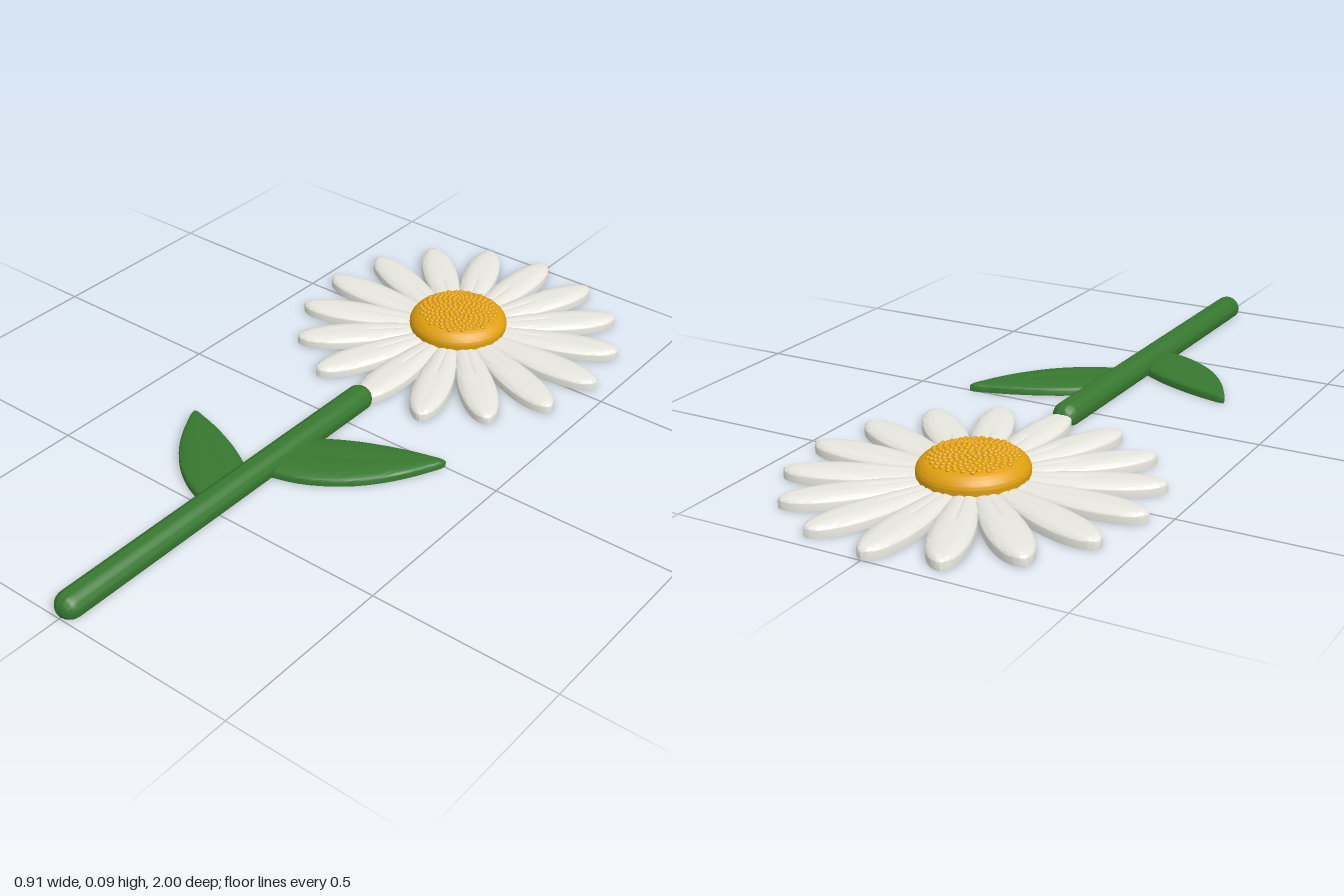
import * as THREE from 'three';
import { mergeGeometries, toCreasedNormals } from 'three/addons/utils/BufferGeometryUtils.js';

const V = (x, y, z = 0) => new THREE.Vector3(x, y, z);

// Flat-bottomed, domed blade along +x with a crease down the middle.
// profile: [distance along, half width]; bow bends the centre line sideways.
function bladeGeometry(profile, edge, crown, groove, bow = 0) {
  const curve = new THREE.CatmullRomCurve3(profile.map(([x, w]) => V(x, w)));
  const length = profile[profile.length - 1][0];
  const widest = Math.max(...profile.map((p) => p[1]));
  const rows = 36, across = 16, ring = across + 3;
  const pos = [], index = [];
  for (let i = 0; i <= rows; i++) {
    const p = curve.getPoint(i / rows);
    const w = Math.max(0, p.y);
    const t = THREE.MathUtils.clamp(p.x / length, 0, 1);
    const centre = bow * Math.sin(Math.PI * t);
    const rise = Math.sqrt(Math.min(1, w / widest));
    pos.push(p.x, 0, centre - w);
    for (let j = 0; j <= across; j++) {
      const s = -Math.cos((Math.PI * j) / across);
      const dome = crown * Math.sqrt(Math.max(0, 1 - s * s));
      const crease = groove * Math.exp(-s * s * 40) * Math.sin(Math.PI * t);
      pos.push(p.x, edge + rise * (dome - crease), centre + s * w);
    }
    pos.push(p.x, 0, centre + w);
  }
  for (let i = 0; i < rows; i++) {
    for (let j = 0; j < ring; j++) {
      const k = (j + 1) % ring;
      const a = i * ring + j, b = i * ring + k;
      index.push(a, b, a + ring, b, b + ring, a + ring);
    }
  }
  const g = new THREE.BufferGeometry();
  g.setAttribute('position', new THREE.Float32BufferAttribute(pos, 3));
  g.setIndex(index);
  return g;
}

// Moves every vertex by a rule.
function warp(g, rule) {
  const p = g.attributes.position, v = V(0, 0);
  for (let i = 0; i < p.count; i++) {
    v.fromBufferAttribute(p, i);
    rule(v);
    p.setXYZ(i, v.x, v.y, v.z);
  }
  return g;
}

export function createModel() {
  const material = (name, color) => {
    const m = new THREE.MeshStandardMaterial({ color });
    m.name = name;
    return m;
  };
  const white = material('petal white', 0xe6e6de);
  const gold = material('centre gold', 0xe0a010);
  const green = material('stem green', 0x37782f);

  const root = new THREE.Group();
  root.name = 'daisy';
  const add = (parent, name, geometry, mat) => {
    const m = new THREE.Mesh(geometry, mat);
    m.name = name;
    parent.add(m);
    return m;
  };

  // Flower head
  const head = new THREE.Group();
  head.name = 'flowerHead';
  head.position.z = -0.543;
  root.add(head);

  // Petals
  const petal = toCreasedNormals(bladeGeometry([
    [0.13, 0.033], [0.2, 0.042], [0.27, 0.049], [0.33, 0.05], [0.38, 0.045],
    [0.42, 0.034], [0.445, 0.019], [0.453, 0.009], [0.457, 0],
  ], 0.018, 0.016, 0.005), 0.7);
  for (let i = 0; i < 16; i++) {
    add(head, 'petal', petal, white).rotation.y = (i * Math.PI) / 8;
  }

  // Domed centre
  const outline = new THREE.SplineCurve([
    [0.134, 0], [0.136, 0.025], [0.137, 0.044], [0.129, 0.06],
    [0.11, 0.073], [0.07, 0.082], [0, 0.086],
  ].map(([x, y]) => new THREE.Vector2(x, y))).getPoints(24);
  outline[24].x = 0;
  const dome = new THREE.LatheGeometry([new THREE.Vector2(0, 0), ...outline], 48);
  add(head, 'centreDome', toCreasedNormals(dome, 0.7), gold);

  // Florets in a sunflower spiral
  const florets = [];
  const count = 190;
  for (let i = 0; i < count; i++) {
    const r = 0.108 * Math.sqrt((i + 0.5) / count), a = i * 2.39996;
    const y = 0.085 - 0.012 * (r / 0.11) ** 2.4;
    florets.push(new THREE.SphereGeometry(0.0072, 8, 6)
      .scale(1, 0.75, 1)
      .translate(r * Math.cos(a), y, r * Math.sin(a)));
  }
  add(head, 'florets', mergeGeometries(florets), gold);

  // Round stem with a flat underside
  const stem = new THREE.CapsuleGeometry(0.037, 1.046, 10, 32)
    .rotateX(Math.PI / 2)
    .translate(0, 0.018, 0.44);
  warp(stem, (v) => { v.y = Math.max(0, v.y); });
  add(root, 'stem', toCreasedNormals(stem, 0.7), green);

  // Leaves, trimmed inside the stem
  const leaf = (name, side, z, angle, length, width) => {
    const profile = [
      [-0.2, 0.4], [0, 0.8], [0.14, 0.96], [0.28, 1], [0.45, 0.95], [0.62, 0.78],
      [0.78, 0.53], [0.9, 0.28], [0.97, 0.12], [1, 0],
    ].map(([t, w]) => [t * length, w * width]);
    const g = bladeGeometry(profile, 0.015, 0.016, 0.006, side * 0.01)
      .rotateY(angle)
      .translate(0, 0, z);
    warp(g, (v) => { v.x = side * Math.max(0.01, side * v.x); });
    add(root, name, toCreasedNormals(g, 0.7), green);
  };
  leaf('leftLeaf', 1, 0.246, 0.63, 0.425, 0.089);
  leaf('rightLeaf', -1, 0.44, Math.PI - 0.61, 0.372, 0.078);

  return root;
}
